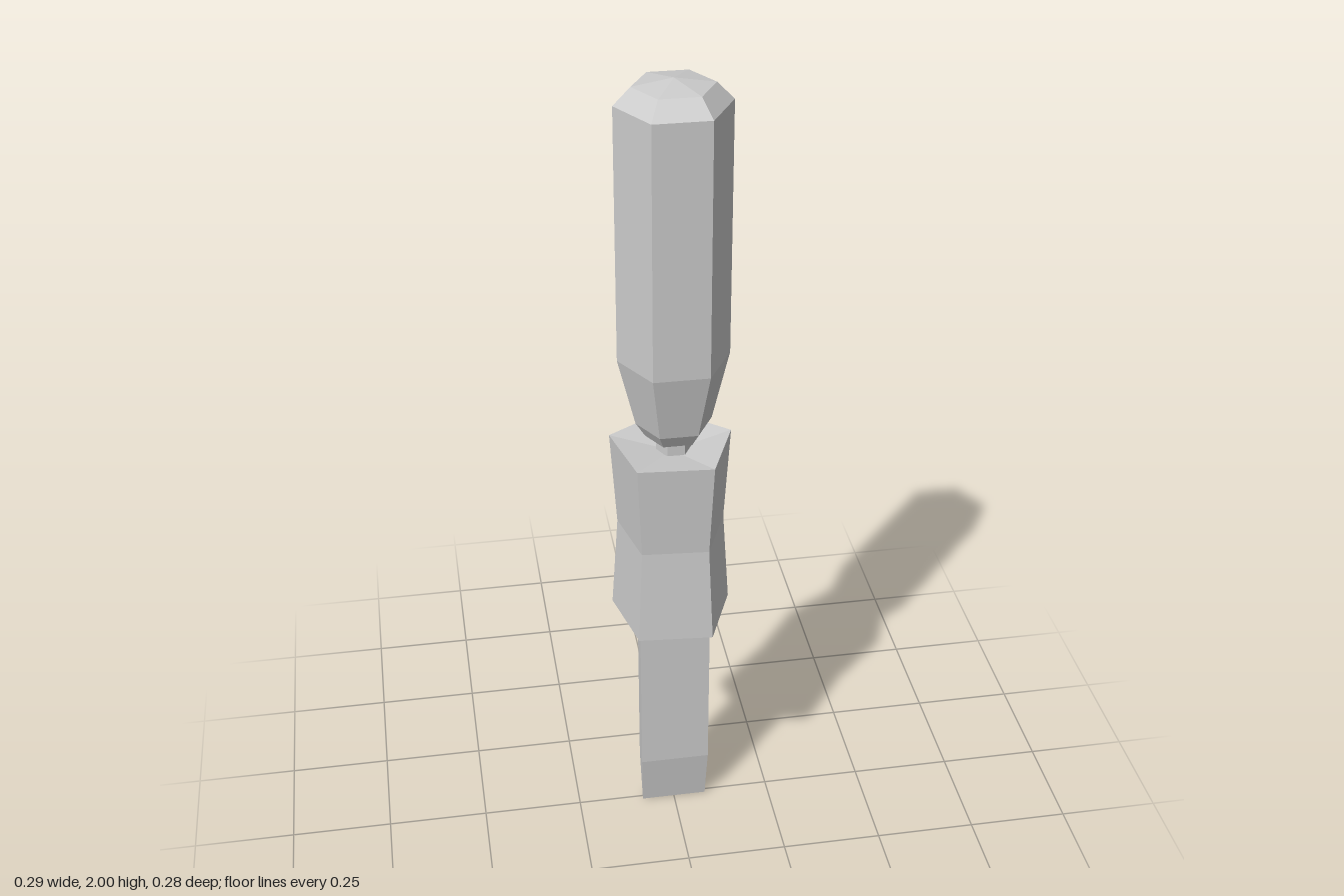
import * as THREE from 'three';

const material = new THREE.MeshStandardMaterial({ color: 0xcccccc, flatShading: true });

// Faceted solid of revolution; profile is [radius, y] from bottom to top
function faceted(name, profile, sides, startAngle, x, z) {
  const points = profile.map(([r, y]) => new THREE.Vector2(r, y));
  const mesh = new THREE.Mesh(new THREE.LatheGeometry(points, sides, startAngle), material);
  mesh.name = name;
  mesh.position.set(x, 0, z);
  return mesh;
}

// Flat blade, wedge-shaped below the shoulder
function makeBlade() {
  const levels = [
    { y: 0.72, halfWidth: 0.088, halfDepth: 0.021 },
    { y: 0.145, halfWidth: 0.087, halfDepth: 0.021 },
    { y: 0, halfWidth: 0.083, halfDepth: 0.002 },
  ];
  const geometry = new THREE.BoxGeometry(2, 2, 2, 1, 2, 1);
  const p = geometry.attributes.position;
  for (let i = 0; i < p.count; i++) {
    const level = levels[1 - Math.round(p.getY(i))];
    p.setXYZ(i, p.getX(i) * level.halfWidth, level.y, p.getZ(i) * level.halfDepth);
  }
  geometry.computeVertexNormals();
  const mesh = new THREE.Mesh(geometry, material);
  mesh.name = 'blade';
  mesh.position.z = 0.01;
  return mesh;
}

export function createModel() {
  const model = new THREE.Group();
  model.name = 'chisel';

  // Six-sided grip with a tapered lower end and a shallow domed cap
  const grip = [
    [0, 1.13], [0.068, 1.13], [0.09, 1.165], [0.131, 1.335],
    [0.131, 1.945], [0.092, 1.985], [0, 2],
  ];
  model.add(faceted('handle', grip, 6, Math.PI / 2, 0, 0.007));

  // Thin neck joining the handle to the collar
  model.add(faceted('neck', [[0, 1.0], [0.042, 1.0], [0.042, 1.15], [0, 1.15]], 6, Math.PI / 2, 0, 0.007));

  // Five-sided waisted collar with slightly dished ends
  const collar = [[0, 0.655], [0.1525, 0.62], [0.136, 0.865], [0.1525, 1.105], [0, 1.085]];
  model.add(faceted('collar', collar, 5, THREE.MathUtils.degToRad(31.4), -0.005, 0.01));

  model.add(makeBlade());
  return model;
}
